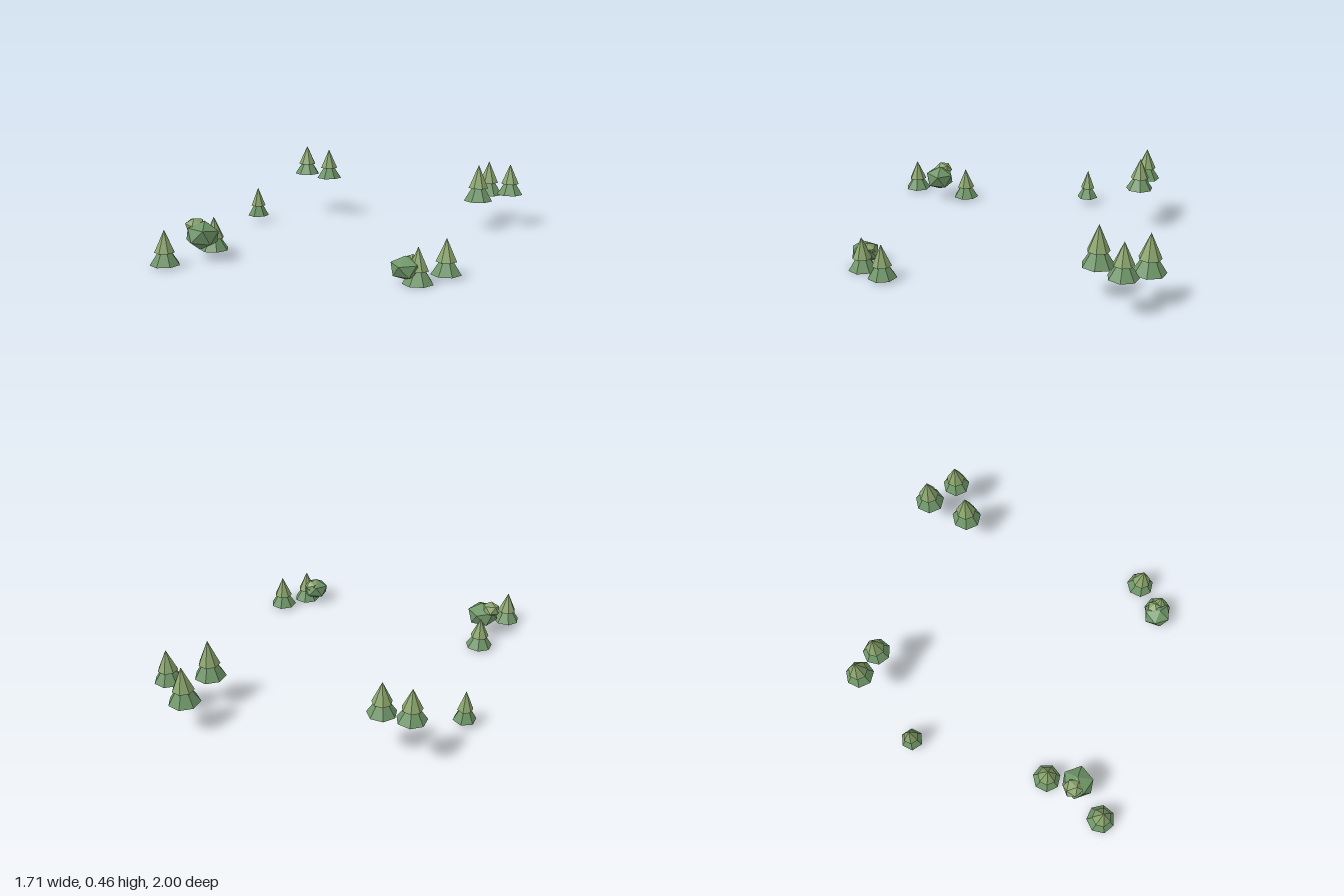
import * as THREE from 'three';

const material = (color) => new THREE.MeshStandardMaterial({ color, flatShading: true });
const darkLeaf = material(0x6f9668);
const lightLeaf = material(0x8ca66e);

// Two-tier conifer: a wide skirt cone with a narrower cone overhanging it
function makeTree(x, y, z, radius, height, sides, turn) {
  const tree = new THREE.Group();
  tree.name = 'tree';
  const tiers = [
    ['lowerFoliage', radius, 0, height * 0.66, darkLeaf],
    ['upperFoliage', radius * 0.68, height * 0.36, height * 0.64, lightLeaf],
  ];
  for (const [name, r, base, h, mat] of tiers) {
    const cone = new THREE.Mesh(new THREE.ConeGeometry(r, h, sides), mat);
    cone.name = name;
    cone.position.y = base + h / 2;
    tree.add(cone);
  }
  tree.position.set(x, y, z);
  tree.rotation.y = turn;
  return tree;
}

// Faceted clump of a bush, slightly flattened
function makeClump(name, x, y, z, radius, squash, turn, mat) {
  const geometry = new THREE.IcosahedronGeometry(radius, 0);
  geometry.rotateZ(turn).rotateY(turn * 2).scale(1, squash, 1);
  const clump = new THREE.Mesh(geometry, mat);
  clump.name = name;
  clump.position.set(x, y, z);
  return clump;
}

function makeBush(main, top) {
  const bush = new THREE.Group();
  bush.name = 'bush';
  bush.add(makeClump('bushBody', ...main, darkLeaf), makeClump('bushTop', ...top, lightLeaf));
  return bush;
}

export function createModel() {
  const model = new THREE.Group();
  model.name = 'treeGroves';

  // x, base y, z, radius, height, sides, turn
  const q = Math.PI / 2;
  const trees = [
    // back left and right groves
    [-0.63, 0.27, -0.7, 0.084, 0.19, 7, q],
    [-0.46, 0.253, -0.685, 0.083, 0.193, 7, 0],
    [0.605, 0.175, -0.908, 0.092, 0.22, 7, q],
    [0.77, 0.205, -0.8, 0.084, 0.195, 7, q],
    [0.602, 0.18, -0.64, 0.092, 0.23, 7, q],
    // lone small tree
    [-0.8, 0.04, -0.288, 0.067, 0.185, 6, 0],
    // front groves
    [0.735, 0.018, 0.53, 0.083, 0.192, 7, q],
    [0.635, 0.002, 0.695, 0.083, 0.192, 7, q],
    [-0.648, 0.016, 0.532, 0.083, 0.192, 7, q],
    [-0.725, 0.016, 0.917, 0.083, 0.192, 7, 0],
  ];
  for (const t of trees) model.add(makeTree(...t));

  // x, y, z, radius, squash, turn for the body and the top of each bush
  model.add(makeBush([-0.615, 0.142, 0.71, 0.1, 0.82, 0.4], [-0.665, 0.19, 0.7, 0.06, 0.82, 0.9]));
  model.add(makeBush([0.575, 0.08, 0.705, 0.088, 0.76, 0.7], [0.59, 0.105, 0.68, 0.052, 0.82, 0.3]));
  return model;
}
